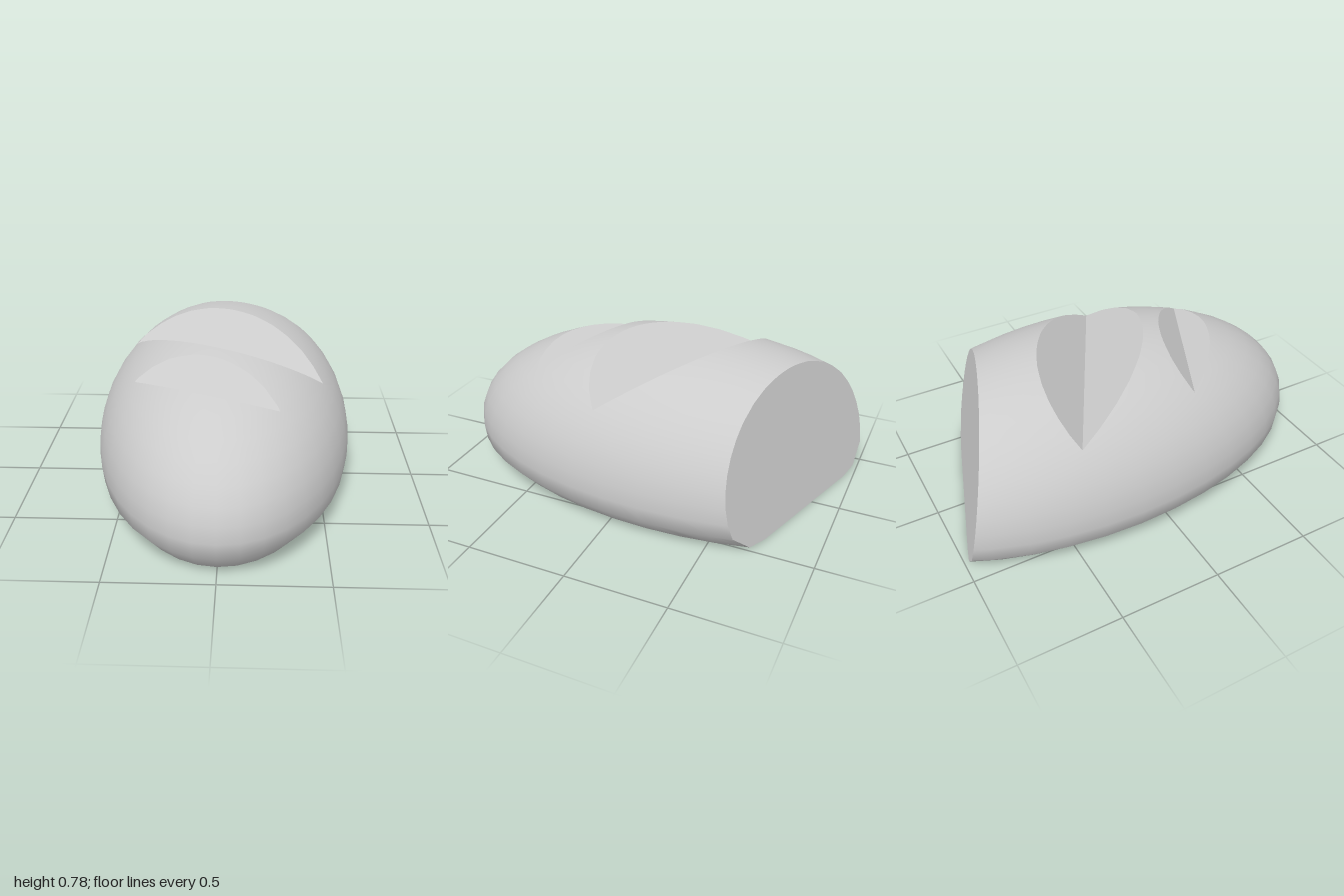
import * as THREE from 'three';

const V = (x, y, z) => new THREE.Vector3(x, y, z);
const RX = 0.66, RZ = 1.2, ZC = -0.2, SHOULDER = 0.2, RISE = 0.59;
const SEGMENTS = 40, TOP_RINGS = 12;

// Whole loaf skin: elliptical dome with a rolled-under bottom edge
function loafSkin() {
  const rings = [];
  for (let i = 1; i <= TOP_RINGS; i++) {
    const t = (i / TOP_RINGS) * Math.PI / 2;
    rings.push([RX * Math.sin(t), RZ * Math.sin(t), SHOULDER + RISE * Math.cos(t)]);
  }
  for (const [inset, y] of [[0.01, 0.12], [0.1, 0.02], [0.3, -0.02]]) {
    rings.push([RX - inset, RZ - inset, y]);
  }
  const pos = [0, SHOULDER + RISE, ZC], index = [];
  for (const [a, b, y] of rings) {
    for (let i = 0; i < SEGMENTS; i++) {
      const t = (i / SEGMENTS) * Math.PI * 2;
      pos.push(a * Math.cos(t), y, ZC + b * Math.sin(t));
    }
  }
  const at = (r, i) => 1 + r * SEGMENTS + (i % SEGMENTS);
  for (let i = 0; i < SEGMENTS; i++) {
    index.push(0, at(0, i + 1), at(0, i));
    for (let r = 0; r < rings.length - 1; r++) {
      index.push(at(r, i), at(r, i + 1), at(r + 1, i));
      index.push(at(r, i + 1), at(r + 1, i + 1), at(r + 1, i));
    }
  }
  const g = new THREE.BufferGeometry();
  g.setAttribute('position', new THREE.Float32BufferAttribute(pos, 3));
  g.setIndex(index);
  g.computeVertexNormals();
  const vertex = (k) => ({
    p: V().fromBufferAttribute(g.attributes.position, k),
    n: V().fromBufferAttribute(g.attributes.normal, k),
  });
  const polys = [];
  for (let k = 0; k < index.length; k += 3) polys.push(index.slice(k, k + 3).map(vertex));
  return polys;
}

const mix = (a, b, t) => ({ p: a.p.clone().lerp(b.p, t), n: a.n.clone().lerp(b.n, t).normalize() });

// Keep the part of a convex polygon on the positive side of a plane
function clip(poly, plane) {
  const out = [];
  poly.forEach((a, i) => {
    const b = poly[(i + 1) % poly.length];
    const da = plane.distanceToPoint(a.p), db = plane.distanceToPoint(b.p);
    if (da >= 0) out.push(a);
    if (da * db < 0) out.push(mix(a, b, da / (da - db)));
  });
  return out;
}
const clipAll = (polys, plane) => polys.map((q) => clip(q, plane)).filter((q) => q.length > 2);
const flip = (plane) => plane.clone().negate();

// Flat face where a plane slices the convex skin, trimmed by another plane
function section(skin, plane, trim) {
  const pts = [];
  for (const poly of skin) {
    poly.forEach((a, i) => {
      const b = poly[(i + 1) % poly.length];
      const da = plane.distanceToPoint(a.p), db = plane.distanceToPoint(b.p);
      if (da * db < 0) pts.push(a.p.clone().lerp(b.p, da / (da - db)));
    });
  }
  const mid = V(0, 0, 0);
  pts.forEach((p) => mid.addScaledVector(p, 1 / pts.length));
  const u = V(1, 0, 0).projectOnPlane(plane.normal).normalize();
  const v = plane.normal.clone().cross(u);
  const angle = (p) => {
    const d = p.clone().sub(mid);
    return Math.atan2(d.dot(v), d.dot(u));
  };
  pts.sort((a, b) => angle(a) - angle(b));
  return clip(pts.map((p) => ({ p, n: plane.normal })), trim);
}

function buildMesh(name, polys, material) {
  const pos = [], nor = [];
  for (const q of polys) {
    for (let i = 1; i < q.length - 1; i++) {
      for (const c of [q[0], q[i], q[i + 1]]) {
        pos.push(...c.p.toArray());
        nor.push(...c.n.toArray());
      }
    }
  }
  const g = new THREE.BufferGeometry();
  g.setAttribute('position', new THREE.Float32BufferAttribute(pos, 3));
  g.setAttribute('normal', new THREE.Float32BufferAttribute(nor, 3));
  const mesh = new THREE.Mesh(g, material);
  mesh.name = name;
  return mesh;
}

// Score wall: rises with the given slope from a level valley line, facing up
function wall([x1, z1], [x2, z2], y, slope, side) {
  const across = V(z1 - z2, 0, x2 - x1).normalize().multiplyScalar(side);
  const normal = across.multiplyScalar(-slope).add(V(0, 1, 0)).normalize();
  return new THREE.Plane().setFromNormalAndCoplanarPoint(normal, V((x1 + x2) / 2, y, (z1 + z2) / 2));
}

export function createModel() {
  const group = new THREE.Group();
  group.name = 'breadLoaf';
  const bread = new THREE.MeshStandardMaterial({ color: 0xcccccc });
  bread.name = 'bread grey';

  const skin = loafSkin();
  const ground = new THREE.Plane(V(0, -1, 0), 0);
  // Slanted slice: z = -0.86 + 0.32 x + 0.2 y
  const slice = new THREE.Plane().setFromNormalAndCoplanarPoint(V(0.32, 0.2, -1).normalize(), V(0, 0, -0.86));

  let crust = clipAll(clipAll(skin, flip(ground)), flip(slice));
  group.add(buildMesh('flatBase', [section(skin, ground, flip(slice))], bread));
  group.add(buildMesh('slicedEnd', [section(skin, slice, flip(ground))], bread));

  // Two diagonal V-shaped scores across the top
  const scores = [
    { name: 'largeScore', from: [-0.52, -0.44], to: [0.48, 0.09], y: 0.56, front: 0.7, back: 1.0 },
    { name: 'smallScore', from: [-0.42, 0.21], to: [0.28, 0.53], y: 0.6, front: 0.55, back: 1.1 },
  ];
  for (const s of scores) {
    const front = wall(s.from, s.to, s.y, s.front, 1);
    const back = wall(s.from, s.to, s.y, s.back, -1);
    crust = [
      ...clipAll(crust, flip(front)),
      ...clipAll(clipAll(crust, front), flip(back)),
    ];
    group.add(buildMesh(s.name + 'Front', [section(skin, front, back)], bread));
    group.add(buildMesh(s.name + 'Back', [section(skin, back, front)], bread));
  }
  group.add(buildMesh('crust', crust, bread));
  return group;
}
